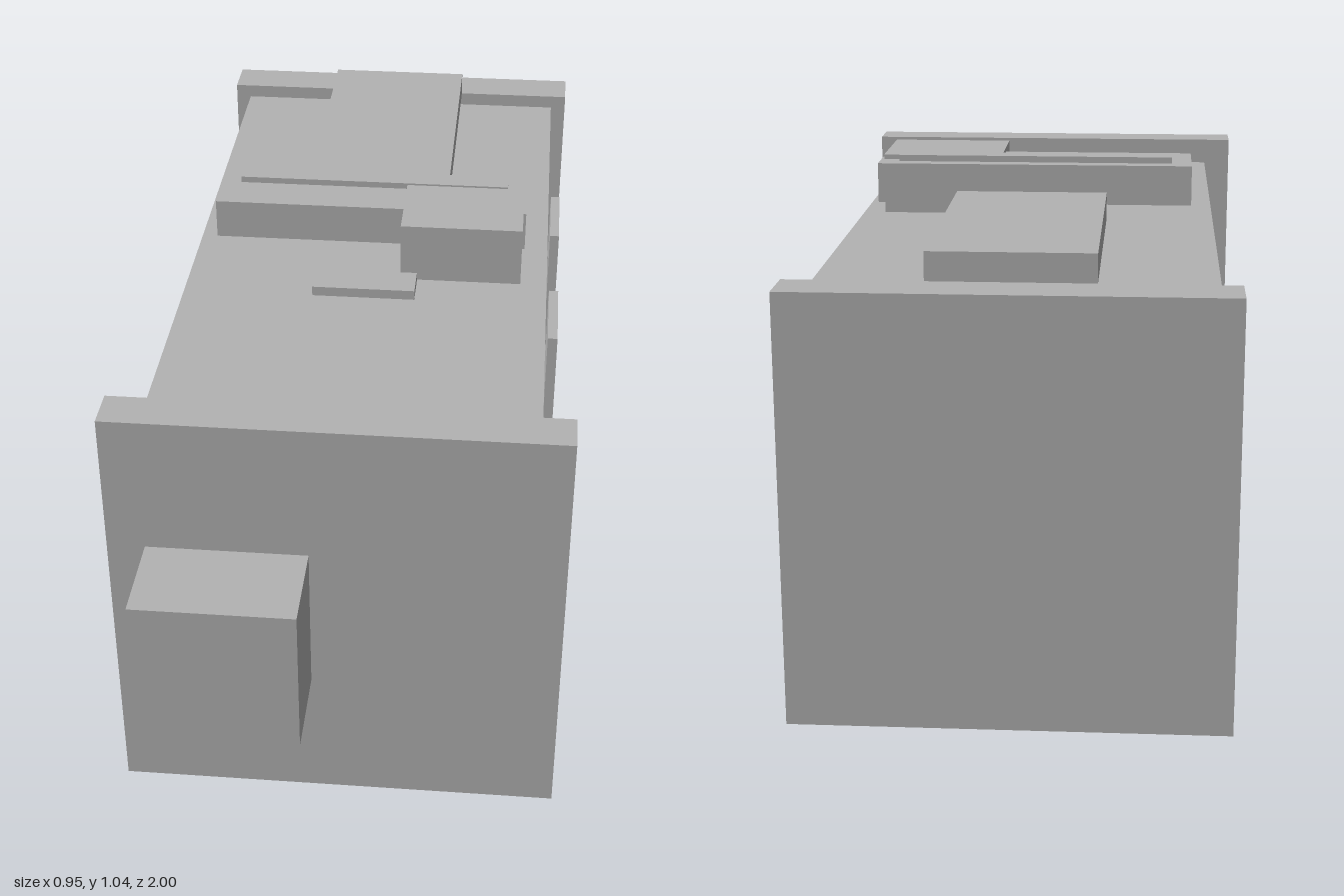
import * as THREE from 'three';

const grey = new THREE.MeshStandardMaterial({ color: 0xb3b3b3 });
grey.name = 'plain grey';

// Box given by its extents along each axis
function block(name, [x0, x1], [y0, y1], [z0, z1]) {
  const mesh = new THREE.Mesh(new THREE.BoxGeometry(x1 - x0, y1 - y0, z1 - z0), grey);
  mesh.position.set((x0 + x1) / 2, (y0 + y1) / 2, (z0 + z1) / 2);
  mesh.name = name;
  return mesh;
}

export function createModel() {
  const model = new THREE.Group();
  model.name = 'boxHousing';

  // Main body between two end plates
  model.add(
    block('body', [-0.41, 0.41], [0.07, 0.89], [-0.895, 0.705]),
    block('frontPlate', [-0.475, 0.475], [0, 0.952], [0.705, 0.798]),
    block('backPlate', [-0.447, 0.447], [0.03, 0.922], [-1, -0.895]),
    block('frontBox', [-0.395, -0.055], [0.308, 0.645], [0.798, 1])
  );

  // Pads on the left side and on the top, at two stations along the body
  for (const z of [[-0.515, -0.305], [-0.035, 0.18]]) {
    for (const y of [[0.14, 0.37], [0.585, 0.815]]) {
      model.add(block('sidePad', [0.418, 0.44], y, z));
    }
    model.add(block('topPad', [-0.115, 0.115], [0.9, 0.922], z));
  }

  // Long slab on the roof
  model.add(block('roofSlab', [-0.168, 0.168], [0.92, 0.98], [-0.89, -0.253]));

  // Cross bar with its raised strip and offset block
  const crossBar = new THREE.Group();
  crossBar.name = 'crossBar';
  crossBar.add(
    block('bar', [-0.358, 0.356], [0.94, 1.03], [-0.187, -0.005]),
    block('strip', [-0.313, 0.311], [1.025, 1.044], [-0.153, -0.107]),
    block('offsetBlock', [0.077, 0.35], [0.905, 1.04], [-0.125, 0.097])
  );
  model.add(crossBar);

  return model;
}
